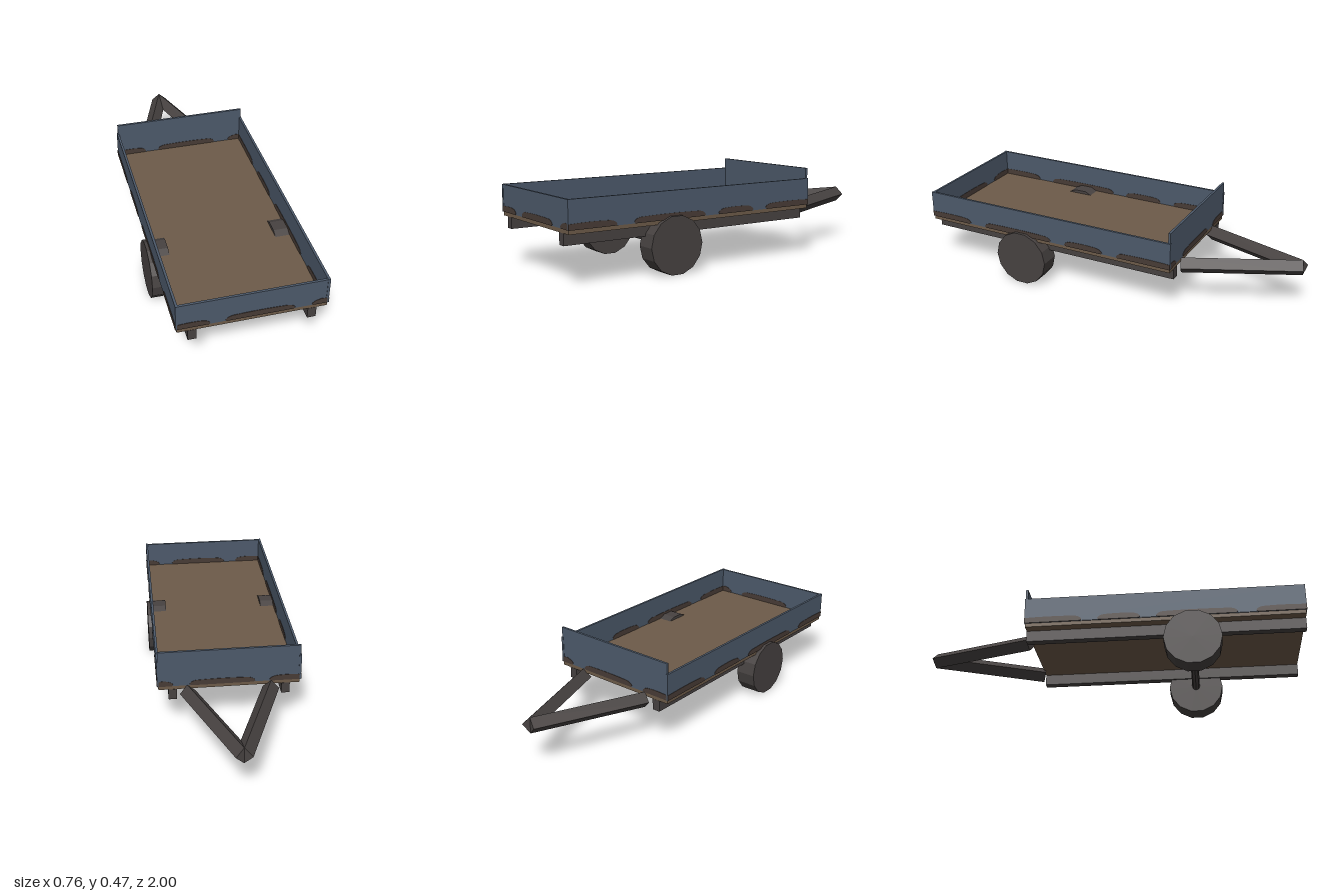
import * as THREE from 'three';

const mat = (name, color, extra = {}) => {
  const m = new THREE.MeshStandardMaterial({ color, flatShading: true, ...extra });
  m.name = name;
  return m;
};

export function createModel() {
  const paint = mat('blue paint', 0x4d5a6b);
  const wood = mat('brown boards', 0x6d5b49);
  const metal = mat('dark metal', 0x474241);
  const rust = mat('rust', 0x483c36);

  const model = new THREE.Group();
  model.name = 'trailer';

  const add = (parent, name, geometry, material, x = 0, y = 0, z = 0) => {
    const mesh = new THREE.Mesh(geometry, material);
    mesh.name = name;
    mesh.position.set(x, y, z);
    parent.add(mesh);
    return mesh;
  };

  const front = -0.425, back = 1, midZ = (front + back) / 2, length = back - front;
  const floorTop = 0.27, thick = 0.012;

  // Load bed
  add(model, 'floor', new THREE.BoxGeometry(0.71, 0.02, length - 0.008), wood, 0, floorTop - 0.01, midZ);

  // Worn patch along the foot of a wall; ends flush with the wall stay square
  const patchShape = (a, b, half) => {
    const s = new THREE.Shape();
    const left = a <= -half, right = b >= half, h = 0.028, r = 0.035;
    s.moveTo(left ? a : a + 0.008, 0);
    s.lineTo(right ? b : b - 0.008, 0);
    if (right) s.lineTo(b, h);
    else {
      s.lineTo(b, 0.007);
      s.quadraticCurveTo(b - 0.008, h - 0.004, b - r, h);
    }
    s.quadraticCurveTo((a + b) / 2, h + 0.006, left ? a : a + r, h);
    if (!left) s.quadraticCurveTo(a + 0.008, h - 0.004, a, 0.007);
    s.closePath();
    return s;
  };

  // Wall panel with patches on both faces; its length runs along local x
  const wall = (name, size, height, patches) => {
    const g = new THREE.Group();
    g.name = name;
    add(g, name + 'Panel', new THREE.BoxGeometry(size, height, thick), paint, 0, height / 2, 0);
    for (const [a, b] of patches) {
      const geo = new THREE.ExtrudeGeometry(patchShape(a, b, size / 2 - 0.002), {
        depth: 0.003, bevelEnabled: false, curveSegments: 5,
      });
      add(g, name + 'RustOuter', geo, rust, 0, 0, thick / 2 - 0.001);
      add(g, name + 'RustInner', geo, rust, 0, 0, -thick / 2 - 0.002);
    }
    g.position.y = floorTop;
    model.add(g);
    return g;
  };

  const endPatches = [[-0.353, -0.2], [-0.13, 0.2], [0.28, 0.353]];
  wall('tailboard', 0.71, 0.139, endPatches).position.z = back - thick / 2 - 0.002;
  wall('headboard', 0.71, 0.195, endPatches).position.z = front + thick / 2 + 0.002;

  const h = length / 2;
  const sidePatches = [[-h, 0.75 - midZ - 2 * h + h - 0.21], [-0.42, -0.2]]; // replaced per z below
  sidePatches.length = 0;
  for (const [z0, z1] of [[-0.425, -0.13], [-0.05, 0.17], [0.25, 0.66], [0.75, 1]]) {
    sidePatches.push([z0 - midZ, z1 - midZ]);
  }

  // Wheel with its flats turned to the ground
  const wheelGeo = new THREE.CylinderGeometry(0.147, 0.147, 0.106, 14);
  wheelGeo.rotateZ(Math.PI / 2);
  const wheelFlat = 0.147 * Math.cos(Math.PI / 14), axleZ = 0.43;

  // Square drawbar standing on its edge
  const barStart = new THREE.Vector3(0.21, 0.228, -0.42);
  const barEnd = new THREE.Vector3(0, 0.248, -0.986);
  const barGeo = new THREE.CylinderGeometry(0.042, 0.042, barStart.distanceTo(barEnd), 4);
  barGeo.rotateX(Math.PI / 2);

  for (const side of [-1, 1]) {
    const word = side > 0 ? 'left' : 'right';
    const panel = wall(word + 'Side', length, 0.14, sidePatches);
    panel.rotation.y = -Math.PI / 2; // local x becomes world z
    panel.position.set(side * (0.362 - thick / 2 - 0.002), floorTop, midZ);

    add(model, word + 'Rail', new THREE.BoxGeometry(0.042, 0.058, length - 0.006), metal,
      side * 0.284, 0.221, midZ);
    add(model, word + 'Wheel', wheelGeo, metal, side * 0.325, wheelFlat, axleZ);

    const start = barStart.clone(), end = barEnd.clone();
    start.x *= side;
    const bar = add(model, word + 'Drawbar', barGeo, metal);
    bar.position.copy(start).add(end).multiplyScalar(0.5);
    bar.lookAt(end);
  }

  // Axle
  const axleGeo = new THREE.CylinderGeometry(0.021, 0.021, 0.56, 8);
  axleGeo.rotateZ(Math.PI / 2);
  add(model, 'axle', axleGeo, metal, 0, 0.146, axleZ);

  return model;
}
